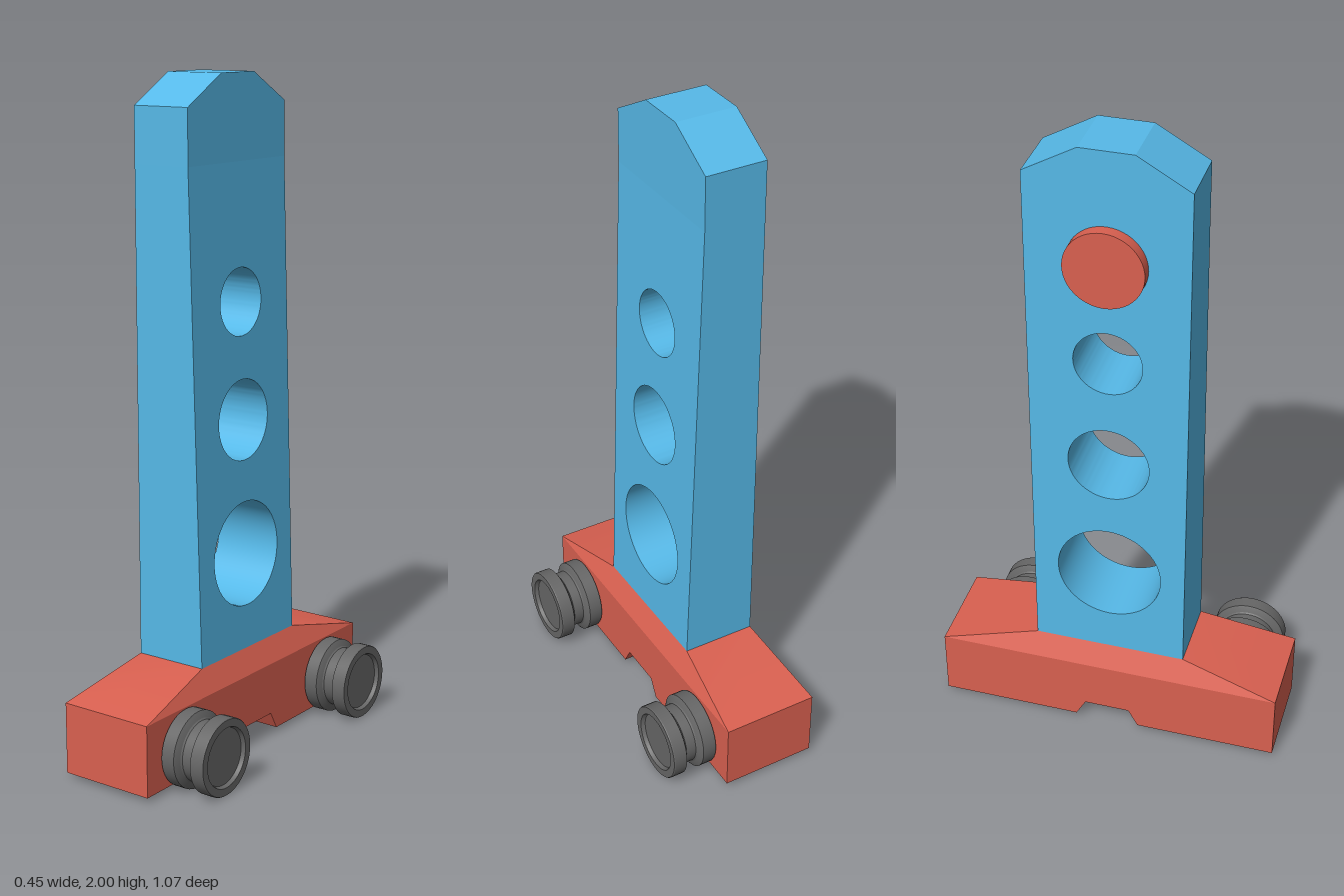
import * as THREE from 'three';
import { toCreasedNormals } from 'three/addons/utils/BufferGeometryUtils.js';

const blue = new THREE.MeshStandardMaterial({ color: 0x56b9e8 });
const red = new THREE.MeshStandardMaterial({ color: 0xd96050 });
const dark = new THREE.MeshStandardMaterial({ color: 0x666666 });

// Extrude a (z, y) profile along x; spanAt(y) gives [xMin, xMax] at each height
function slab(name, material, points, spanAt, holes = []) {
  const shape = new THREE.Shape(points.map(([z, y]) => new THREE.Vector2(z, y)));
  for (const [y, r] of holes) {
    const hole = new THREE.Path();
    hole.absarc(0, y, r, 0, Math.PI * 2, true);
    shape.holes.push(hole);
  }
  const geo = new THREE.ExtrudeGeometry(shape, { depth: 1, bevelEnabled: false, curveSegments: 48 });
  geo.rotateY(Math.PI / 2);
  const pos = geo.attributes.position;
  for (let i = 0; i < pos.count; i++) {
    const [a, b] = spanAt(pos.getY(i));
    pos.setX(i, a + (b - a) * pos.getX(i));
  }
  const mesh = new THREE.Mesh(toCreasedNormals(geo, 0.4), material);
  mesh.name = name;
  return mesh;
}

// Mirror half of a profile (z >= 0, listed bottom to top) to both sides
const mirrored = (half) => [...half, ...half.slice().reverse().map(([z, y]) => [-z, y])];

export function createModel() {
  const model = new THREE.Group();
  model.name = 'wheeledUpright';

  // Base block with a notch underneath, and its sloping cap
  model.add(slab('baseBlock', red,
    mirrored([[0.07, 0.07], [0.1, 0.015], [0.533, 0.015], [0.533, 0.23]]),
    () => [-0.224, 0.074]));
  model.add(slab('baseCap', red,
    mirrored([[0.533, 0.23], [0.233, 0.3]]),
    (y) => (y > 0.26 ? [-0.188, 0.04] : [-0.224, 0.074])));

  // Post: tapered and pierced below the knee, straight and chamfered above it
  const knee = 1.75;
  model.add(slab('lowerPost', blue,
    mirrored([[0.233, 0.3], [0.233, knee]]),
    (y) => [-0.188, 0.04 * (knee - y) / (knee - 0.3)],
    [[0.592, 0.159], [0.998, 0.121], [1.347, 0.1]]));
  model.add(slab('upperPost', blue,
    mirrored([[0.233, knee], [0.233, 1.912], [0.078, 2]]),
    () => [-0.188, 0]));

  // Round button on the flat side of the post
  const button = new THREE.Mesh(new THREE.CylinderGeometry(0.115, 0.115, 0.04, 48), red);
  button.name = 'button';
  button.rotation.z = Math.PI / 2;
  button.position.set(-0.204, 1.665, 0);
  model.add(button);

  // Grooved wheels with a dished outer face; profile is (radius, distance along axle)
  const profile = [
    [0, 0.079], [0.113, 0.079], [0.115, 0.082], [0.115, 0.123], [0.11, 0.126],
    [0.095, 0.132], [0.091, 0.136], [0.091, 0.168], [0.095, 0.172], [0.11, 0.178],
    [0.115, 0.181], [0.115, 0.221], [0.113, 0.224], [0.09, 0.224], [0.085, 0.212], [0, 0.212],
  ].map(([r, h]) => new THREE.Vector2(r, h));
  const wheelGeo = toCreasedNormals(new THREE.LatheGeometry(profile, 48), 0.4);
  const axleGeo = new THREE.CylinderGeometry(0.04, 0.04, 0.05, 24);
  for (const side of [-1, 1]) {
    const wheel = new THREE.Group();
    wheel.name = side > 0 ? 'frontWheel' : 'backWheel';
    const rim = new THREE.Mesh(wheelGeo, dark);
    rim.name = 'rim';
    const axle = new THREE.Mesh(axleGeo, dark);
    axle.name = 'axle';
    axle.position.y = 0.075;
    wheel.add(rim, axle);
    wheel.rotation.z = -Math.PI / 2;
    wheel.position.set(0, 0.115, side * 0.361);
    model.add(wheel);
  }
  return model;
}
